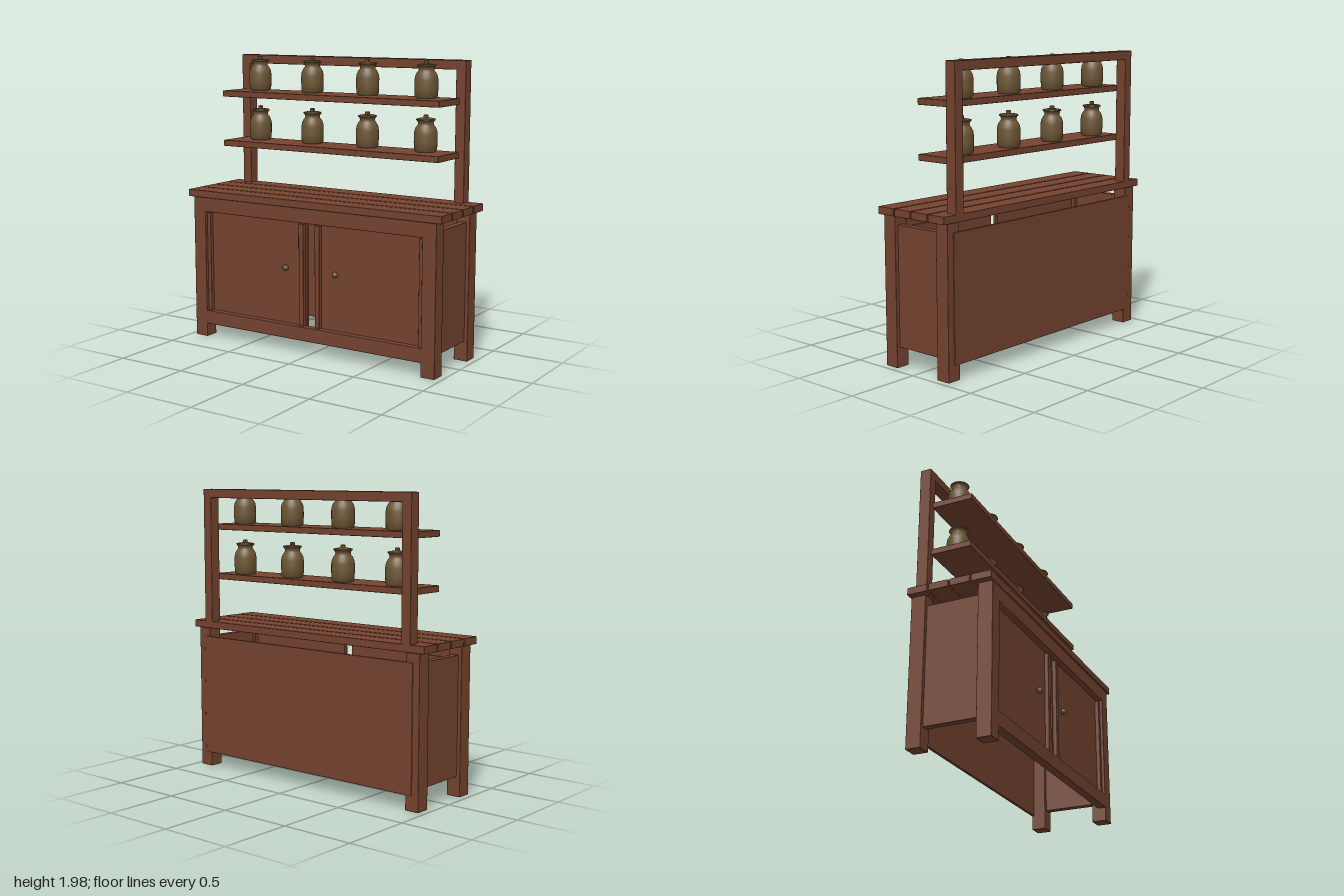
import * as THREE from 'three';
import { toCreasedNormals } from 'three/addons/utils/BufferGeometryUtils.js';
import { RoundedBoxGeometry } from 'three/addons/geometries/RoundedBoxGeometry.js';

export function createModel() {
  const model = new THREE.Group();
  model.name = 'kitchenDresser';
  const wood = new THREE.MeshStandardMaterial({ color: 0x74432f });
  wood.name = 'redBrownWood';
  const clay = new THREE.MeshStandardMaterial({ color: 0x6b5433 });
  clay.name = 'oliveClay';

  // A softly edged board given by its extents along each axis
  function board(name, [x0, x1], [y0, y1], [z0, z1], parent = model) {
    const w = x1 - x0, h = y1 - y0, d = z1 - z0;
    const radius = Math.min(0.004, Math.min(w, h, d) / 4);
    const mesh = new THREE.Mesh(new RoundedBoxGeometry(w, h, d, 1, radius), wood);
    mesh.position.set((x0 + x1) / 2, (y0 + y1) / 2, (z0 + z1) / 2);
    mesh.name = name;
    parent.add(mesh);
    return mesh;
  }
  // The same extents on the left (+x) or right (-x) side
  const side = (s, a, b) => (s > 0 ? [a, b] : [-b, -a]);

  // Worktop planks with narrow gaps
  for (let i = 0; i < 4; i++) {
    const z = -0.29 + i * 0.147;
    board('worktopPlank', [-1, 1], [1.0, 1.05], [z, z + 0.138]);
  }

  // Cabinet rails and back
  board('topRail', [-0.865, 0.865], [0.9, 1.0], [0.22, 0.28]);
  board('bottomRail', [-0.865, 0.865], [0.095, 0.19], [0.22, 0.28]);
  board('backPanel', [-0.91, 0.91], [0.1, 0.94], [-0.284, -0.265]);

  const knobShape = new THREE.SphereGeometry(0.02, 16, 12);
  for (const s of [1, -1]) {
    const label = s > 0 ? 'left' : 'right';

    // Legs and side panel
    board(label + 'FrontLeg', side(s, 0.86, 0.96), [0, 1.0], [0.18, 0.28]);
    board(label + 'BackLeg', side(s, 0.86, 0.96), [0, 1.0], [-0.28, -0.18]);
    board(label + 'SidePanel', side(s, 0.885, 0.935), [0.135, 0.935], [-0.19, 0.19]);

    // Door with two battens and a knob
    const door = new THREE.Group();
    door.name = label + 'Door';
    model.add(door);
    board('doorPanel', side(s, 0.032, 0.865), [0.185, 0.905], [0.21, 0.235], door);
    board('doorBatten', side(s, 0.045, 0.083), [0.19, 0.89], [0.23, 0.262], door);
    board('doorBatten', side(s, 0.83, 0.86), [0.19, 0.89], [0.23, 0.262], door);
    const knob = new THREE.Mesh(knobShape, clay);
    knob.name = 'doorKnob';
    knob.position.set(s * 0.198, 0.575, 0.25);
    door.add(knob);

    // Rack post
    board(label + 'RackPost', side(s, 0.825, 0.895), [1.03, 1.975], [-0.29, -0.212]);
  }
  board('rackTopRail', [-0.83, 0.83], [1.914, 1.975], [-0.29, -0.212]);

  // Lidded jar, turned in one profile
  const profile = [
    [0, 0], [0.066, 0], [0.075, 0.012], [0.077, 0.06], [0.077, 0.115], [0.073, 0.14],
    [0.064, 0.16], [0.053, 0.173], [0.05, 0.186], [0.056, 0.201], [0.064, 0.206],
    [0.062, 0.213], [0.04, 0.218], [0.016, 0.219], [0.016, 0.236], [0.012, 0.239], [0, 0.239],
  ].map(([x, y]) => new THREE.Vector2(x, y));
  const jarShape = toCreasedNormals(new THREE.LatheGeometry(profile, 28), 0.7);

  // Shelves, each with a row of jars
  for (const top of [1.385, 1.733]) {
    board('shelf', [-0.855, 0.855], [top - 0.042, top], [-0.214, 0.07]);
    for (let i = 0; i < 4; i++) {
      const jar = new THREE.Mesh(jarShape, clay);
      jar.name = 'jar';
      jar.position.set(-0.665 + i * 0.442, top, -0.118);
      model.add(jar);
    }
  }
  return model;
}
